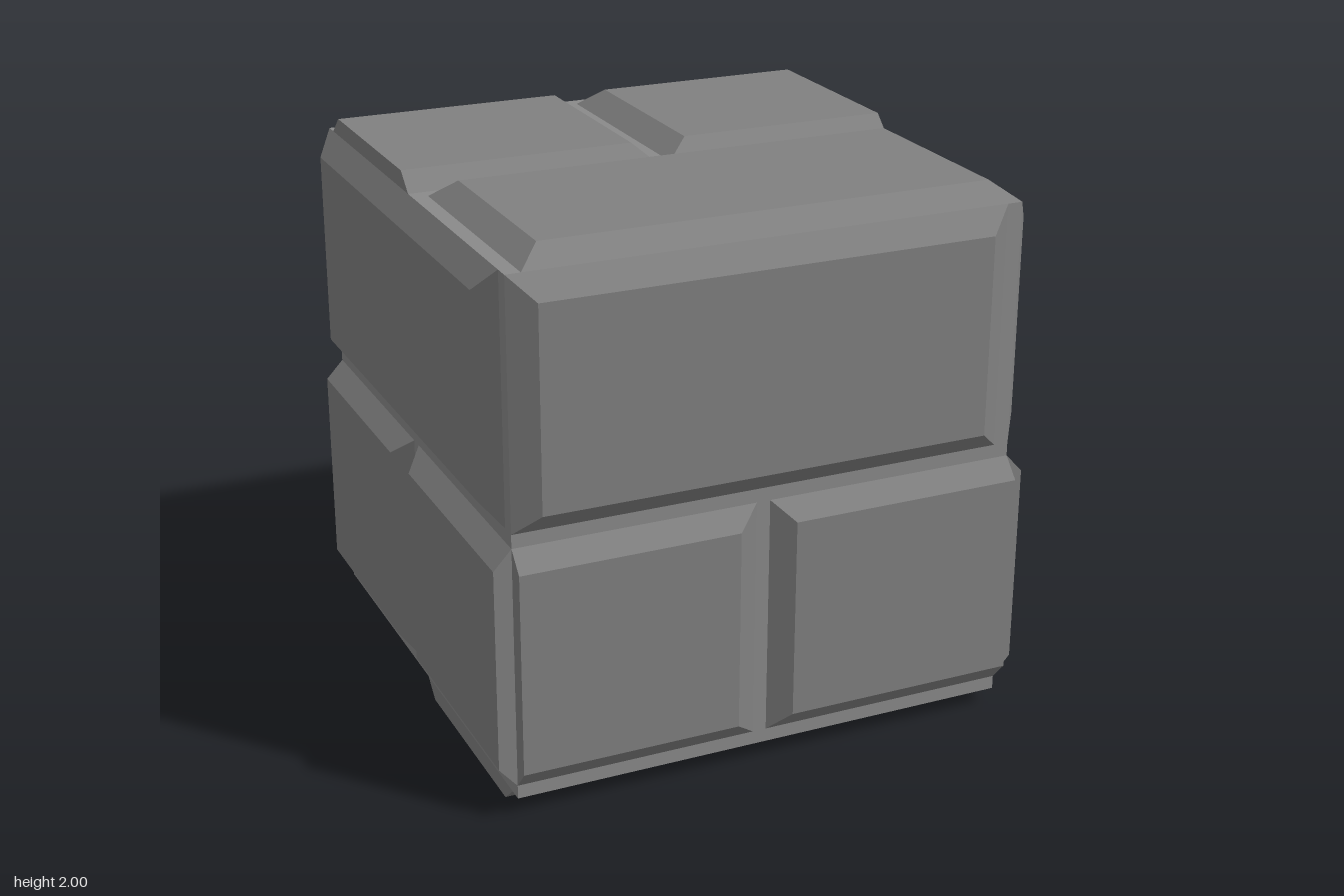
import * as THREE from 'three';

const CORE = 0.935; // half size of the mortar cube
const FACE = 1.0;   // height of the brick faces

// Brick layout of one side: [min, max] across and up, at the mortar and at the raised face
const BRICKS = [
  { name: 'longBrick', baseU: [-0.935, 0.88], baseV: [0.05, 0.935], topU: [-0.85, 0.795], topV: [0.125, 0.85] },
  { name: 'shortBrickA', baseU: [-0.935, -0.05], baseV: [-0.885, 0], topU: [-0.935, -0.138], topV: [-0.81, -0.07] },
  { name: 'shortBrickB', baseU: [0, 0.935], baseV: [-0.885, 0], topU: [0.072, 0.935], topV: [-0.81, -0.07] },
];

// Across and up directions of each side; the outward direction is their cross product
const SIDES = {
  front: [[1, 0, 0], [0, 1, 0]],
  right: [[0, 0, -1], [0, 1, 0]],
  back: [[-1, 0, 0], [0, 1, 0]],
  left: [[0, 0, 1], [0, 1, 0]],
  top: [[-1, 0, 0], [0, 0, 1]],
  bottom: [[-1, 0, 0], [0, 0, -1]],
};

// Box whose outer face is drawn in to form bevels; the hidden inner face is dropped
function brickGeometry({ baseU, baseV, topU, topV }) {
  const box = new THREE.BoxGeometry(1, 1, 1);
  box.setIndex(Array.from(box.index.array).slice(0, 30));
  const p = box.attributes.position;
  for (let i = 0; i < p.count; i++) {
    const outer = p.getZ(i) > 0;
    const u = (outer ? topU : baseU)[p.getX(i) > 0 ? 1 : 0];
    const v = (outer ? topV : baseV)[p.getY(i) > 0 ? 1 : 0];
    p.setXYZ(i, u, v, outer ? FACE : CORE);
  }
  const geometry = box.toNonIndexed();
  geometry.computeVertexNormals();
  return geometry;
}

export function createModel() {
  const model = new THREE.Group();
  model.name = 'brickBlock';
  const brickMaterial = new THREE.MeshStandardMaterial({ color: 0x808080, flatShading: true });
  const mortarMaterial = new THREE.MeshStandardMaterial({ color: 0x8a8a8a, flatShading: true });

  // Mortar cube
  const core = new THREE.Mesh(new THREE.BoxGeometry(2 * CORE, 2 * CORE, 2 * CORE), mortarMaterial);
  core.name = 'mortarCore';
  core.position.y = 1;
  model.add(core);

  // Three bevelled bricks on each of the six sides
  const geometries = BRICKS.map(brickGeometry);
  for (const [name, [across, up]] of Object.entries(SIDES)) {
    const side = new THREE.Group();
    side.name = `${name}Bricks`;
    const u = new THREE.Vector3(...across);
    const v = new THREE.Vector3(...up);
    const out = new THREE.Vector3().crossVectors(u, v);
    side.quaternion.setFromRotationMatrix(new THREE.Matrix4().makeBasis(u, v, out));
    side.position.y = 1;
    BRICKS.forEach((brick, i) => {
      const mesh = new THREE.Mesh(geometries[i], brickMaterial);
      mesh.name = brick.name;
      side.add(mesh);
    });
    model.add(side);
  }
  return model;
}
